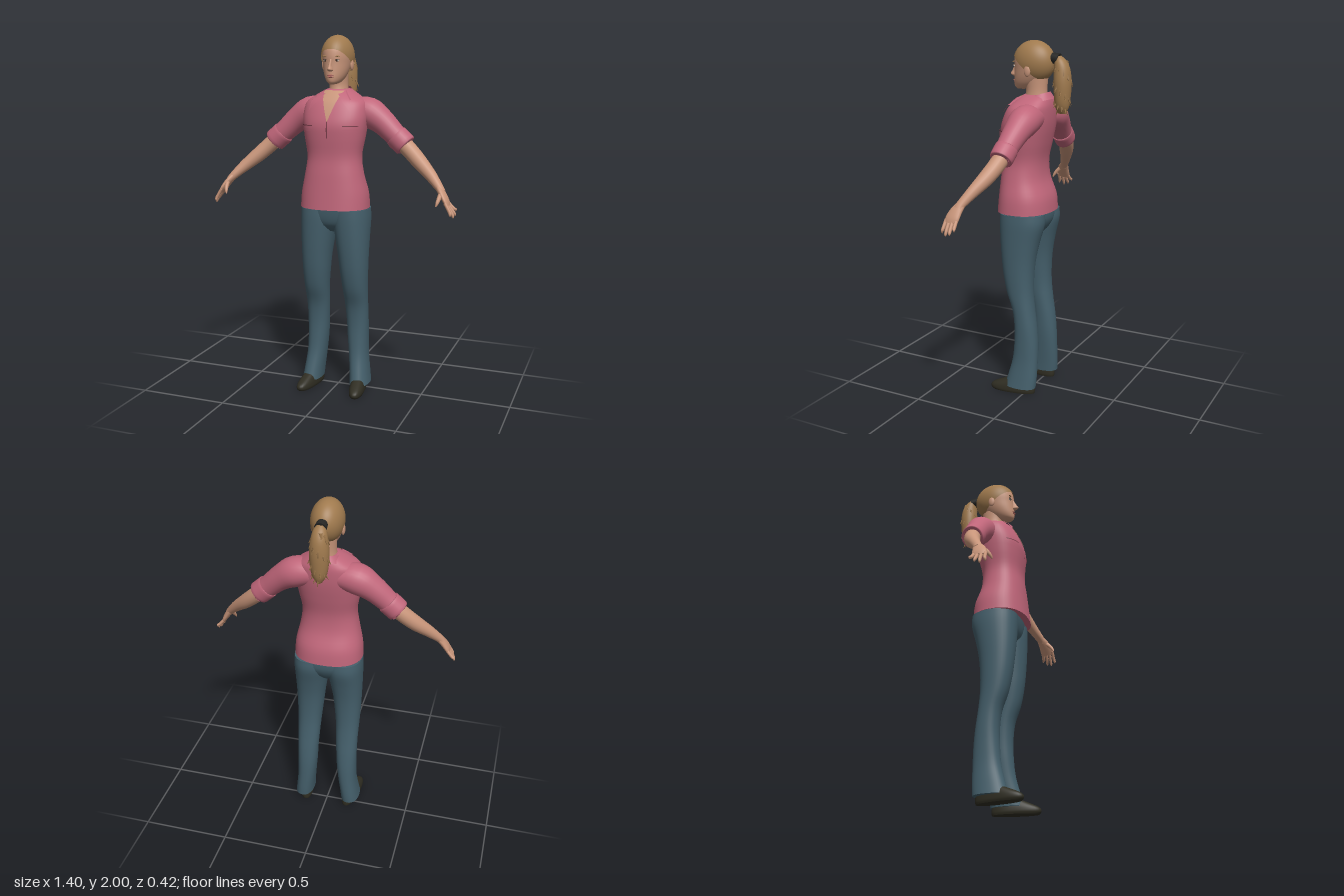
import * as THREE from 'three';

const V = (x, y, z) => new THREE.Vector3(x, y, z);
const mat = (name, color, side = THREE.FrontSide) => {
  const m = new THREE.MeshStandardMaterial({ color, side });
  m.name = name;
  return m;
};

// Smoothly subdivides a short list of numeric rows.
function refine(rows, sub = 4) {
  const out = [];
  const at = (i) => rows[Math.max(0, Math.min(rows.length - 1, i))];
  for (let i = 0; i < rows.length - 1; i++)
    for (let s = 0; s < sub; s++) {
      const t = s / sub;
      out.push(rows[i].map((p, k) => {
        const a = at(i - 1)[k], b = at(i + 1)[k], c = at(i + 2)[k];
        return p + 0.5 * t * (b - a + t * (2 * a - 5 * p + 4 * b - c + t * (3 * (p - b) + c - a)));
      }));
    }
  out.push(rows[rows.length - 1]);
  return out;
}

// Closed skin over rings of points, capped at both ends.
function skinRings(rings) {
  const n = rings[0].length, m = rings.length, pos = [], idx = [];
  rings.forEach((r) => r.forEach((p) => pos.push(p.x, p.y, p.z)));
  for (let j = 0; j < m - 1; j++)
    for (let i = 0; i < n; i++) {
      const a = j * n + i, b = j * n + (i + 1) % n;
      idx.push(a, b, b + n, a, b + n, a + n);
    }
  [0, m - 1].forEach((j) => {
    const c = V(0, 0, 0);
    rings[j].forEach((p) => c.addScaledVector(p, 1 / n));
    const base = pos.length / 3;
    pos.push(c.x, c.y, c.z);
    rings[j].forEach((p) => pos.push(p.x, p.y, p.z));
    for (let i = 0; i < n; i++) {
      const a = base + 1 + i, b = base + 1 + (i + 1) % n;
      idx.push(base, ...(j ? [a, b] : [b, a]));
    }
  });
  const g = new THREE.BufferGeometry();
  g.setAttribute('position', new THREE.Float32BufferAttribute(pos, 3));
  g.setIndex(idx);
  g.computeVertexNormals();
  return g;
}

const pw = (v, e) => Math.sign(v) * Math.pow(Math.abs(v), e);

// Horizontal sections, bottom to top: [y, xMin, xMax, zBack, zFront].
function loft(rows, e = 1, n = 36) {
  return skinRings(refine(rows).map(([y, x0, x1, z0, z1]) => Array.from({ length: n }, (_, i) => {
    const a = (i / n) * Math.PI * 2;
    return V((x0 + x1) / 2 + (x1 - x0) / 2 * pw(Math.sin(a), e), y, (z0 + z1) / 2 + (z1 - z0) / 2 * pw(Math.cos(a), e));
  })));
}
const sym = (rows) => rows.map(([y, w, zb, zf]) => [y, -w, w, zb, zf]);

// Limb along a path: [x, y, z, thickness, depth].
function limb(rows, n = 20, sub = 4) {
  const r = refine(rows, sub);
  const p = r.map((q) => V(q[0], q[1], q[2]));
  return skinRings(r.map((q, j) => {
    const T = p[Math.min(j + 1, p.length - 1)].clone().sub(p[Math.max(j - 1, 0)]).normalize();
    const A = T.clone().cross(V(0, 0, 1)).normalize(), B = A.clone().cross(T);
    return Array.from({ length: n }, (_, i) => {
      const a = (i / n) * Math.PI * 2;
      return p[j].clone().addScaledVector(A, q[3] * Math.sin(a)).addScaledVector(B, q[4] * Math.cos(a));
    });
  }));
}

// Thin sheet from a function of u, v in 0..1.
function sheet(fn, nu = 12, nv = 10) {
  const g = new THREE.PlaneGeometry(1, 1, nu, nv), p = g.attributes.position;
  for (let i = 0; i < p.count; i++) p.setXYZ(i, ...fn(p.getX(i) + 0.5, p.getY(i) + 0.5));
  g.computeVertexNormals();
  return g;
}

function mirrored(g) {
  const m = g.clone().scale(-1, 1, 1), a = m.index.array;
  for (let i = 0; i < a.length; i += 3) [a[i + 1], a[i + 2]] = [a[i + 2], a[i + 1]];
  return m;
}

export function createModel() {
  const root = new THREE.Group();
  root.name = 'woman';
  const skin = mat('skin', 0xc8957a, THREE.DoubleSide), hair = mat('hair', 0xa07a4e, THREE.DoubleSide);
  const shirt = mat('shirt', 0xc0667a, THREE.DoubleSide), seam = mat('shirtSeam', 0x7c3e4b, THREE.DoubleSide);
  const denim = mat('trousers', 0x45606c), shoe = mat('shoes', 0x2f2d22), band = mat('hairBand', 0x262624);
  const white = mat('eyeWhite', 0xcfc3b8), dark = mat('iris', 0x3a2a22), lip = mat('lips', 0xb0665f);
  const add = (name, g, m) => {
    const o = new THREE.Mesh(g, m);
    o.name = name;
    root.add(o);
  };
  const pair = (name, g, m) => { add(name + 'Left', g, m); add(name + 'Right', mirrored(g), m); };
  const ball = (x, y, z, rx, ry, rz) => new THREE.SphereGeometry(1, 20, 14).scale(rx, ry, rz).translate(x, y, z);

  // Shirt body
  const E = 0.86;
  const body = sym([[1.065, 0.193, -0.104, 0.204], [1.15, 0.187, -0.095, 0.196], [1.25, 0.165, -0.06, 0.186],
    [1.35, 0.152, -0.054, 0.175], [1.45, 0.168, -0.074, 0.182], [1.52, 0.178, -0.088, 0.183], [1.58, 0.182, -0.096, 0.166],
    [1.64, 0.17, -0.098, 0.138], [1.675, 0.125, -0.094, 0.11], [1.7, 0.085, -0.086, 0.082], [1.712, 0.06, -0.075, 0.06]]);
  add('shirtBody', loft(body, E, 48), shirt);
  const dense = refine(body);
  const frontZ = (x, y) => {
    let j = dense.findIndex((r) => r[0] >= y);
    j = j < 0 ? dense.length - 1 : Math.max(1, j);
    const t = Math.min(1, (y - dense[j - 1][0]) / (dense[j][0] - dense[j - 1][0]));
    const [, , w, zb, zf] = dense[j].map((b, k) => dense[j - 1][k] + (b - dense[j - 1][k]) * t);
    return (zb + zf) / 2 + (zf - zb) / 2 * Math.pow(Math.max(0, 1 - Math.pow(Math.abs(x / w), 2 / E)), E / 2);
  };
  const onFront = (x, y, lift) => [x, y, frontZ(x, y) + lift];

  // Open neckline, placket line and pocket flaps
  add('openNeckline', sheet((u, v) => onFront((u - 0.5) * 0.115 * v, 1.54 + 0.165 * v, 0.004), 12, 20), skin);
  add('placketLine', sheet((u, v) => onFront((u - 0.5) * 0.006, 1.455 + 0.09 * v, 0.004), 1, 10), seam);
  pair('pocketFlap', sheet((u, v) => onFront(0.085 + 0.075 * u, 1.495 + 0.024 * v - 0.006 * Math.sin(u * Math.PI) * (1 - v), 0.006)), shirt);
  pair('pocketSeam', sheet((u, v) => onFront(0.085 + 0.075 * u, 1.517 + 0.005 * v, 0.007), 12, 1), seam);

  // Collar wrapped round the neck, ending in two points
  add('collar', sheet((u, v) => {
    const t = u * 2 - 1, a = t * 2.55, d = 1 - v, s = Math.sin(a), c = Math.cos(a);
    const x = s * (0.066 + 0.03 * d) + Math.sign(t) * Math.pow(Math.abs(t), 4) * 0.065 * d;
    const y = 1.728 - 0.036 * d - 0.022 * (1 - c) - 0.055 * d * Math.pow(Math.abs(t), 4);
    const z = -0.012 - c * (0.07 + 0.022 * d);
    return [x, y, c < -0.1 ? Math.max(z, frontZ(x, y) + 0.012) : z];
  }, 48, 6), shirt);

  // Sleeves with turned-up cuffs
  pair('sleeve', limb([[0.08, 1.595, -0.015, 0.07, 0.075], [0.17, 1.583, -0.018, 0.084, 0.084], [0.25, 1.535, -0.012, 0.07, 0.07],
    [0.32, 1.473, -0.002, 0.061, 0.06], [0.37, 1.428, 0.003, 0.058, 0.056]], 28), shirt);
  pair('cuff', limb([[0.332, 1.462, 0, 0.058, 0.056], [0.334, 1.46, 0, 0.065, 0.062], [0.36, 1.437, 0.002, 0.065, 0.062],
    [0.386, 1.414, 0.004, 0.064, 0.061], [0.388, 1.412, 0.004, 0.054, 0.052]], 28, 2), shirt);
  pair('cuffTab', new THREE.BoxGeometry(0.075, 0.006, 0.022).rotateZ(-0.73).translate(0.397, 1.48, 0.003), shirt);

  // Forearms and hands
  pair('forearm', limb([[0.36, 1.437, 0, 0.045, 0.045], [0.42, 1.383, 0.015, 0.044, 0.044], [0.48, 1.328, 0.04, 0.041, 0.041],
    [0.55, 1.266, 0.078, 0.032, 0.031], [0.605, 1.21, 0.113, 0.022, 0.025], [0.62, 1.19, 0.12, 0.02, 0.026]]), skin);
  pair('palm', limb([[0.6, 1.215, 0.11, 0.018, 0.024], [0.625, 1.182, 0.127, 0.018, 0.034], [0.648, 1.147, 0.138, 0.015, 0.04],
    [0.66, 1.122, 0.142, 0.01, 0.035]]), skin);
  [0, 1, 2, 3].forEach((i) => {
    const z = 0.112 + i * 0.02, tz = 0.102 + i * 0.026, ty = [1.09, 1.068, 1.06, 1.072][i], tx = [0.692, 0.694, 0.69, 0.68][i];
    pair('finger', limb([[0.65, 1.14, z, 0.009, 0.01], [(0.66 + tx) / 2 + 0.006, (1.12 + ty) / 2, (z + tz) / 2, 0.009, 0.009],
      [tx, ty + 0.01, tz, 0.007, 0.007], [tx, ty, tz, 0.002, 0.002]], 10), skin);
  });
  pair('thumb', limb([[0.622, 1.19, 0.135, 0.013, 0.014], [0.618, 1.165, 0.165, 0.012, 0.012], [0.612, 1.14, 0.184, 0.009, 0.009],
    [0.607, 1.122, 0.192, 0.003, 0.003]], 10), skin);

  // Trousers
  add('trouserSeat', loft(sym([[0.93, 0.04, -0.03, 0.1], [0.97, 0.13, -0.065, 0.145], [1.03, 0.19, -0.09, 0.163], [1.12, 0.18, -0.085, 0.17]]), 0.85), denim);
  pair('trouserLeg', loft([[0.04, 0.09, 0.2, -0.066, 0.122], [0.1, 0.085, 0.192, -0.07, 0.105], [0.2, 0.074, 0.181, -0.071, 0.08],
    [0.3, 0.064, 0.179, -0.069, 0.07], [0.4, 0.058, 0.18, -0.06, 0.068], [0.5, 0.052, 0.181, -0.046, 0.08],
    [0.6, 0.046, 0.184, -0.036, 0.115], [0.7, 0.036, 0.188, -0.036, 0.137], [0.8, 0.025, 0.191, -0.045, 0.15],
    [0.9, 0.009, 0.194, -0.065, 0.159], [1, -0.008, 0.196, -0.091, 0.165], [1.06, -0.01, 0.193, -0.09, 0.165]], 0.88), denim);

  // Shoes, toes turned slightly out
  pair('shoe', loft(sym([[0, 0.038, -0.054, 0.2], [0.012, 0.042, -0.057, 0.21], [0.028, 0.042, -0.057, 0.208],
    [0.045, 0.04, -0.054, 0.185], [0.075, 0.034, -0.045, 0.115]]), 0.85).rotateY(0.15).translate(0.134, 0, 0), shoe);

  // Neck, head and face
  add('neck', loft(sym([[1.62, 0.07, -0.07, 0.075], [1.69, 0.055, -0.066, 0.062], [1.74, 0.05, -0.064, 0.055], [1.8, 0.052, -0.07, 0.07]])), skin);
  add('head', loft(sym([[1.738, 0.016, 0.06, 0.112], [1.75, 0.036, 0.01, 0.125], [1.775, 0.053, -0.03, 0.129], [1.81, 0.066, -0.06, 0.127],
    [1.85, 0.074, -0.085, 0.125], [1.89, 0.079, -0.098, 0.125], [1.93, 0.076, -0.092, 0.116], [1.965, 0.057, -0.068, 0.088],
    [1.99, 0.025, -0.02, 0.045]])), skin);
  add('nose', loft(sym([[1.805, 0.009, 0.1, 0.134], [1.812, 0.015, 0.1, 0.15], [1.82, 0.014, 0.1, 0.155], [1.838, 0.009, 0.1, 0.144],
    [1.872, 0.008, 0.1, 0.127]]), 1, 16), skin);
  pair('ear', ball(0.081, 1.84, 0.012, 0.01, 0.031, 0.019), skin);
  pair('eye', ball(0.032, 1.864, 0.1125, 0.013, 0.006, 0.006), white);
  pair('iris', ball(0.032, 1.864, 0.1165, 0.006, 0.006, 0.004), dark);
  pair('eyelid', ball(0.033, 1.87, 0.114, 0.015, 0.0025, 0.006), dark);
  pair('eyebrow', ball(0.034, 1.886, 0.115, 0.017, 0.003, 0.005), hair);
  add('upperLip', ball(0, 1.785, 0.126, 0.02, 0.0045, 0.008), lip);
  add('lowerLip', ball(0, 1.777, 0.125, 0.017, 0.005, 0.008), lip);

  // Hair swept back into a ponytail
  add('hairCap', new THREE.SphereGeometry(1, 40, 28, 0, Math.PI * 2, 0, 1.92).rotateX(-0.7).scale(0.088, 0.115, 0.12).translate(0, 1.885, 0.01), hair);
  add('hairBand', new THREE.CylinderGeometry(0.029, 0.032, 0.04, 20).rotateX(Math.PI / 2 - 0.2).translate(0, 1.905, -0.118), band);
  const tail = sym([[1.615, 0.015, -0.18, -0.135], [1.65, 0.036, -0.195, -0.12], [1.7, 0.047, -0.203, -0.115], [1.78, 0.052, -0.208, -0.11],
    [1.85, 0.045, -0.2, -0.112], [1.895, 0.034, -0.178, -0.115], [1.92, 0.016, -0.15, -0.122]]);
  add('ponytail', loft(tail), hair);
  // Loose tufts fanning out of the ponytail
  const tailRows = refine(tail);
  for (let i = 0; i < 48; i++) {
    const [y, , w, zb, zf] = tailRows[2 + (i * 7) % 17], a = i * 2.4, s = Math.sin(a), c = Math.cos(a);
    const dir = V(s * 0.55, -1, c * 0.4).normalize();
    const g = new THREE.ConeGeometry(0.009, 0.05, 5).applyQuaternion(new THREE.Quaternion().setFromUnitVectors(V(0, 1, 0), dir));
    add('hairTuft', g.translate(s * w * 0.98, y - 0.005, (zb + zf) / 2 + c * (zf - zb) * 0.48), hair);
  }
  return root;
}
